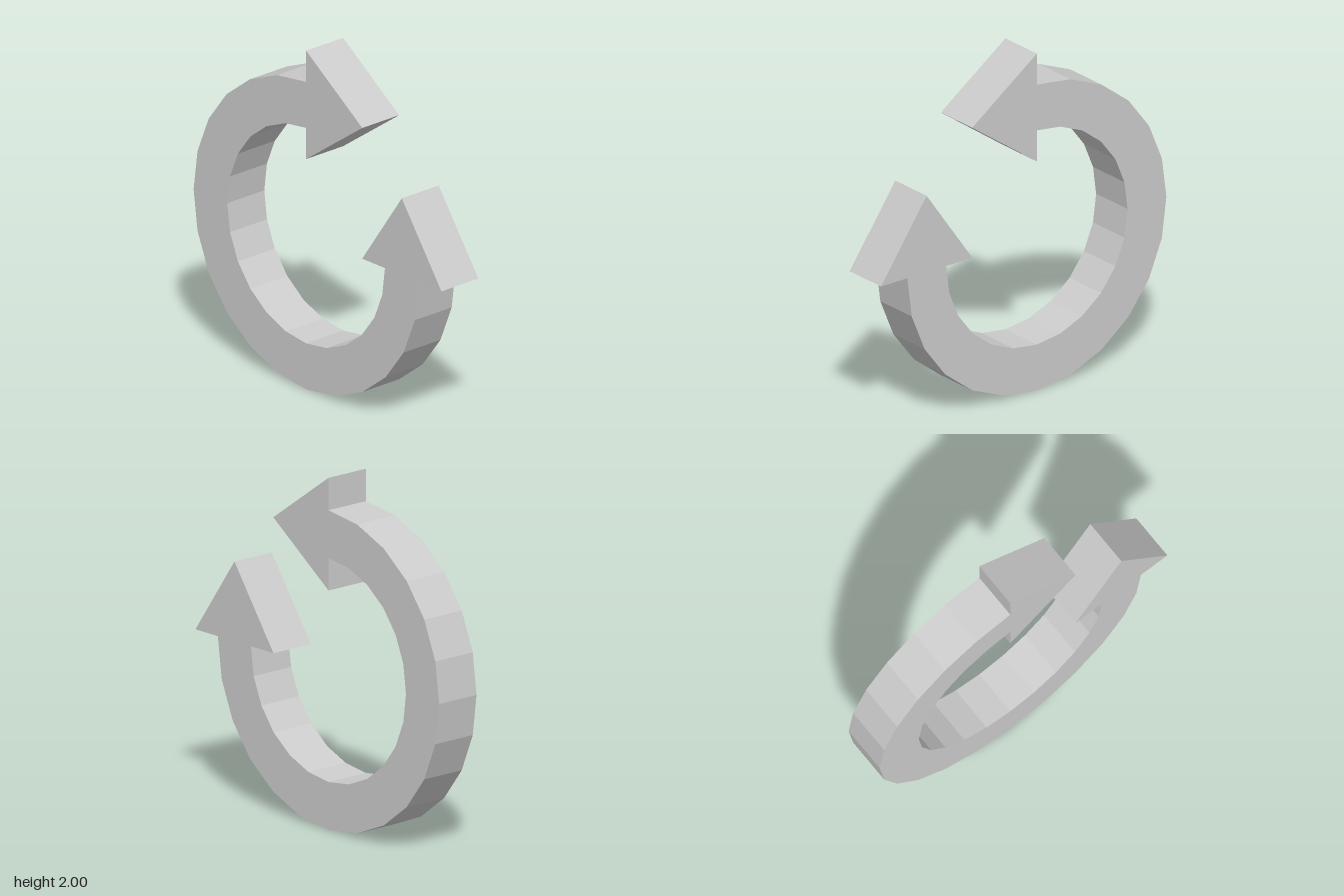
import * as THREE from 'three';

const CX = -0.092, CY = 0.908;      // ring centre
const OUTER = 0.908, INNER = 0.636; // ring radii
const MID = (OUTER + INNER) / 2;
const HEAD_HALF = 0.32, HEAD_LENGTH = 0.453;
const DEPTH = 0.274;
const STEPS = 18;                   // 15 degrees each over three quarters of a turn

export function createModel() {
  const group = new THREE.Group();
  group.name = 'circularArrow';

  const polar = (r, i) => {
    const a = Math.PI / 2 + (i / STEPS) * Math.PI * 1.5;
    return new THREE.Vector2(CX + r * Math.cos(a), CY + r * Math.sin(a));
  };

  // One continuous outline: outer arc, side arrowhead, inner arc, top arrowhead
  const points = [];
  for (let i = 0; i <= STEPS; i++) points.push(polar(OUTER, i));
  points.push(
    new THREE.Vector2(CX + MID + HEAD_HALF, CY),
    new THREE.Vector2(CX + MID, CY + HEAD_LENGTH),
    new THREE.Vector2(CX + MID - HEAD_HALF, CY),
  );
  for (let i = STEPS; i >= 0; i--) points.push(polar(INNER, i));
  points.push(
    new THREE.Vector2(CX, CY + MID - HEAD_HALF),
    new THREE.Vector2(CX + HEAD_LENGTH, CY + MID),
    new THREE.Vector2(CX, CY + MID + HEAD_HALF),
  );

  const geometry = new THREE.ExtrudeGeometry(new THREE.Shape(points), {
    depth: DEPTH, bevelEnabled: false, steps: 1,
  });
  geometry.translate(0, 0, -DEPTH / 2);

  const material = new THREE.MeshStandardMaterial({ color: 0xcccccc, flatShading: true });
  const ring = new THREE.Mesh(geometry, material);
  ring.name = 'doubleHeadedRing';
  group.add(ring);
  return group;
}
